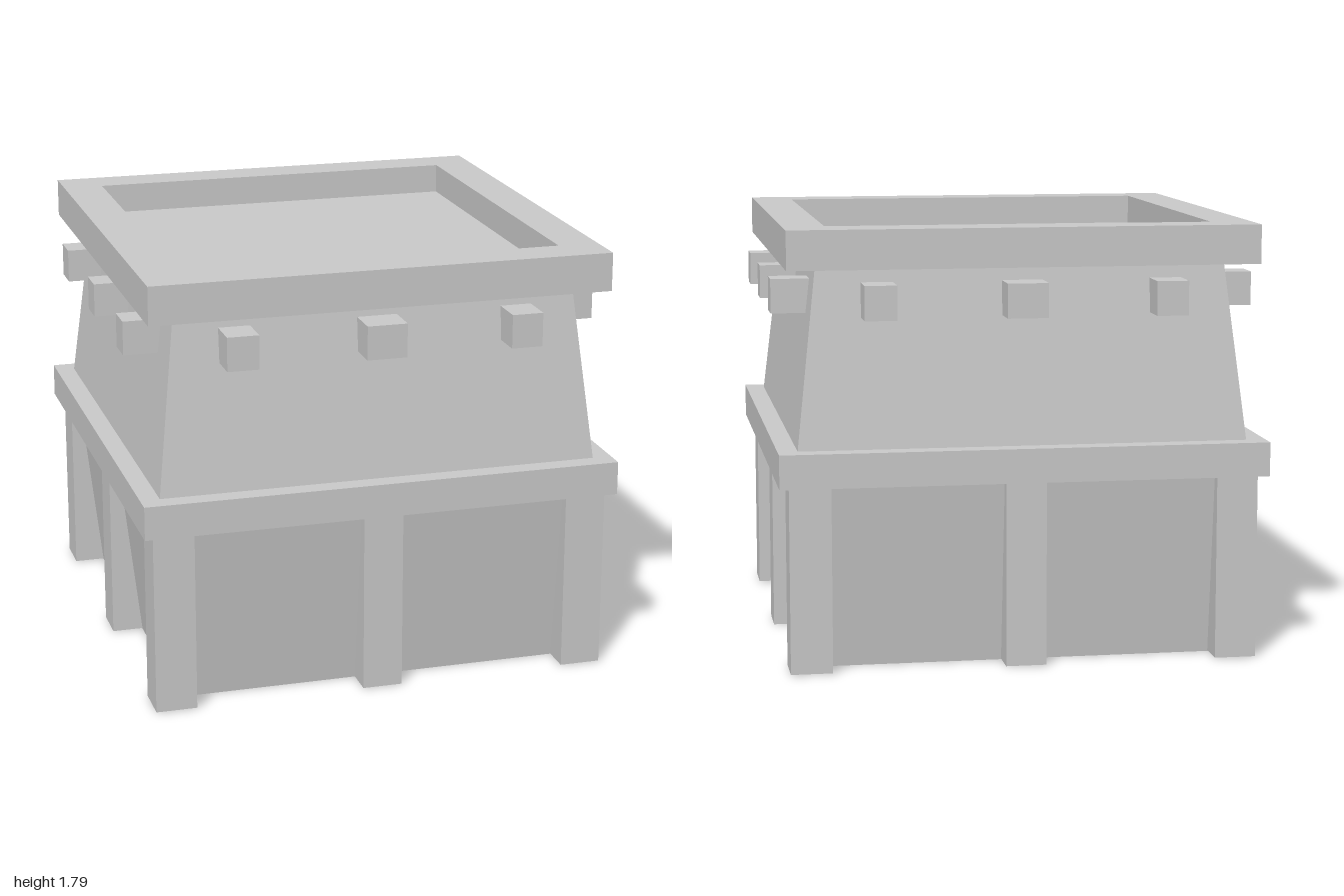
import * as THREE from 'three';

const grey = new THREE.MeshStandardMaterial({ color: 0xcccccc, flatShading: true });
const greyThin = new THREE.MeshStandardMaterial({ color: 0xcccccc, flatShading: true, side: THREE.DoubleSide });

// Square outline with the given half width
function square(Type, h) {
  const s = new Type();
  s.moveTo(-h, -h);
  s.lineTo(h, -h);
  s.lineTo(h, h);
  s.lineTo(-h, h);
  s.closePath();
  return s;
}

export function createModel() {
  const group = new THREE.Group();

  function add(name, geometry, material = grey) {
    const mesh = new THREE.Mesh(geometry, material);
    mesh.name = name;
    group.add(mesh);
    return mesh;
  }

  function box(name, x0, x1, y0, y1, z0, z1) {
    const mesh = add(name, new THREE.BoxGeometry(x1 - x0, y1 - y0, z1 - z0));
    mesh.position.set((x0 + x1) / 2, (y0 + y1) / 2, (z0 + z1) / 2);
  }

  // Horizontal square ring
  function ring(name, outer, inner, y0, y1) {
    const shape = square(THREE.Shape, outer);
    shape.holes.push(square(THREE.Path, inner));
    const g = new THREE.ExtrudeGeometry(shape, { depth: y1 - y0, bevelEnabled: false });
    g.rotateX(-Math.PI / 2);
    g.translate(0, y0, 0);
    add(name, g);
  }

  // Open, four-sided sloping wall
  function slopedWall(name, bottom, top, y0, y1) {
    const g = new THREE.CylinderGeometry(top * Math.SQRT2, bottom * Math.SQRT2, y1 - y0, 4, 1, true);
    g.rotateY(Math.PI / 4);
    g.translate(0, (y0 + y1) / 2, 0);
    add(name, g, greyThin);
  }

  // Walls: the lower one flares upward, the upper one narrows
  slopedWall('lowerWall', 0.83, 0.92, 0, 0.77);
  slopedWall('upperWall', 0.92, 0.835, 0.9, 1.64);

  // Ledge between the storeys and rim around the roof
  ring('ledge', 1, 0.87, 0.765, 0.905);
  ring('roofRim', 0.96, 0.79, 1.63, 1.79);

  // Sunken roof floor
  box('roofFloor', -0.8, 0.8, 1.635, 1.665, -0.8, 0.8);

  // Posts at the corners and in the middle of each side
  const spans = [[-0.96, -0.79], [-0.083, 0.083], [0.79, 0.96]];
  spans.forEach(([x0, x1], i) => spans.forEach(([z0, z1], j) => {
    if (i === 1 && j === 1) return;
    box(i === 1 || j === 1 ? 'middlePost' : 'cornerPost', x0, x1, 0.003, 0.77, z0, z1);
  }));

  // Beam ends sticking out under the roof
  for (const side of [-1, 1]) {
    for (const p of [-0.59, 0, 0.59]) {
      const half = p === 0 ? 0.083 : 0.065;
      const [z0, z1] = side > 0 ? [0.83, 0.99] : [-0.99, -0.83];
      box('beamEnd', p - half, p + half, 1.43, 1.57, z0, z1);
      const [x0, x1] = side > 0 ? [0.83, 1] : [-1, -0.83];
      box('beamEnd', x0, x1, 1.43, 1.57, p - 0.065, p + 0.065);
    }
  }

  return group;
}
